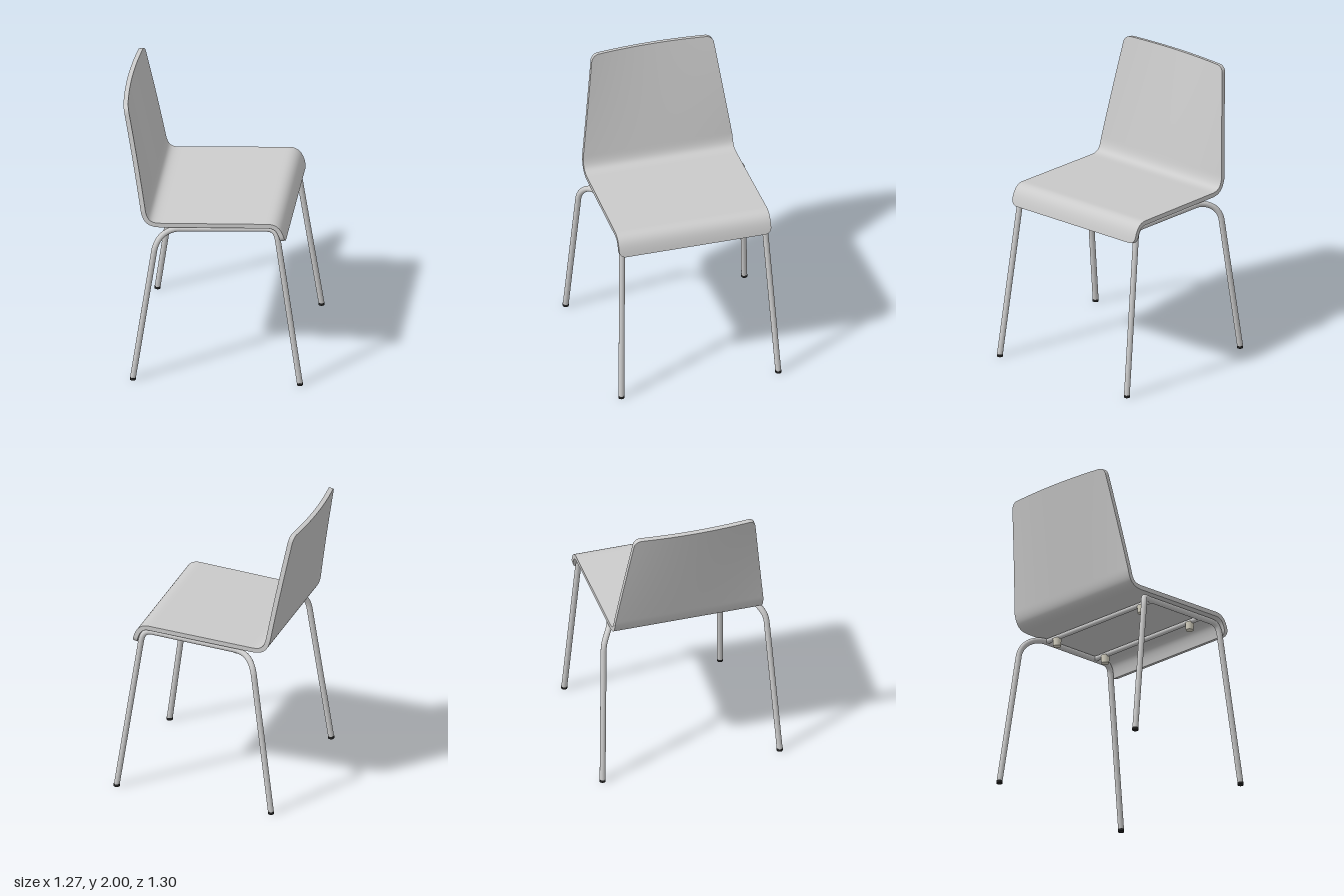
import * as THREE from 'three';
import { toCreasedNormals } from 'three/addons/utils/BufferGeometryUtils.js';

const V2 = (x, y) => new THREE.Vector2(x, y);
const V3 = (x, y, z) => new THREE.Vector3(x, y, z);
const mat = (color) => new THREE.MeshStandardMaterial({ color });

// Bent shell: a side profile swept across z, with tapering width and rounded corners
function shellGeometry() {
  const half = 0.016, corner = 0.045, across = 24;
  const profile = new THREE.CurvePath();
  profile.add(new THREE.CubicBezierCurve(V2(0.495, 1.085), V2(0.477, 1.17), V2(0.455, 1.212), V2(0.39, 1.208)));
  profile.add(new THREE.LineCurve(V2(0.39, 1.208), V2(-0.34, 1.157)));
  profile.add(new THREE.CubicBezierCurve(V2(-0.34, 1.157), V2(-0.42, 1.152), V2(-0.447, 1.175), V2(-0.464, 1.26)));
  profile.add(new THREE.LineCurve(V2(-0.464, 1.26), V2(-0.608, 2.0)));
  const length = profile.getLength();

  // Even steps, plus finer ones inside the rounded corners
  const steps = [];
  for (let i = 0; i <= 8; i++) {
    const d = corner * (1 - Math.cos((i / 8) * Math.PI / 2)) / length;
    steps.push(d, 1 - d);
  }
  for (let i = 4; i <= 116; i++) steps.push(i / 120);
  steps.sort((a, b) => a - b);

  const pos = [], index = [], ring = 2 * (across + 1);
  for (const u of steps) {
    const p = profile.getPointAt(u), t = profile.getTangentAt(u);
    const rise = Math.max(0, (p.y - 1.25) / 0.75);
    let w = 0.53 + 0.01 * p.x - 0.1 * rise;
    const d = Math.min(u, 1 - u) * length;
    if (d < corner) w -= corner - Math.sqrt(Math.max(0, corner ** 2 - (corner - d) ** 2));
    for (let k = 0; k < ring; k++) {
      const top = k <= across;
      const s = ((top ? k : ring - 1 - k) / across) * 2 - 1;
      const h = top ? half : -half;
      const bow = rise * (0.018 - 0.026 * (1 - (s * w / 0.42) ** 2)) - 0.006 * rise;
      pos.push(p.x + t.y * h + bow, p.y - t.x * h, s * w);
    }
  }
  const rows = steps.length;
  for (let i = 0; i < rows - 1; i++) {
    for (let k = 0; k < ring; k++) {
      const a = i * ring + k, b = i * ring + (k + 1) % ring;
      index.push(a, a + ring, b, b, a + ring, b + ring);
    }
  }
  // Lip edge and top edge
  for (let j = 0; j < across; j++) {
    const e = (rows - 1) * ring, bot = ring - 1 - j;
    index.push(j, j + 1, bot, j + 1, bot - 1, bot);
    index.push(e + j, e + bot, e + j + 1, e + j + 1, e + bot, e + bot - 1);
  }
  const g = new THREE.BufferGeometry();
  g.setAttribute('position', new THREE.Float32BufferAttribute(pos, 3));
  g.setIndex(index);
  return toCreasedNormals(g, 0.7);
}

// One bent tube per side: rear leg, seat rail and front leg
function sideFrameGeometry(side) {
  const p = (x, y, z) => V3(x, y, z * side);
  const path = new THREE.CurvePath();
  const rearFoot = p(-0.518, 0.012, 0.628), rearTop = p(-0.38, 0.98, 0.578);
  const railBack = p(-0.21, 1.122, 0.49), railFront = p(0.375, 1.164, 0.49);
  const frontTop = p(0.456, 1.09, 0.503), frontFoot = p(0.613, 0.012, 0.552);
  path.add(new THREE.LineCurve3(rearFoot, rearTop));
  path.add(new THREE.CubicBezierCurve3(rearTop, p(-0.365, 1.085, 0.572), p(-0.31, 1.115, 0.495), railBack));
  path.add(new THREE.LineCurve3(railBack, railFront));
  path.add(new THREE.CubicBezierCurve3(railFront, p(0.425, 1.168, 0.49), p(0.447, 1.15, 0.5), frontTop));
  path.add(new THREE.LineCurve3(frontTop, frontFoot));
  return new THREE.TubeGeometry(path, 180, 0.02, 16);
}

export function createModel() {
  const model = new THREE.Group();
  const grey = mat(0xcccccc), dark = mat(0x222222), beige = mat(0xd8d4c4);
  const add = (name, geometry, material, x = 0, y = 0, z = 0) => {
    const mesh = new THREE.Mesh(geometry, material);
    mesh.name = name;
    mesh.position.set(x, y, z);
    model.add(mesh);
    return mesh;
  };

  add('seatAndBackShell', shellGeometry(), grey);

  const foot = new THREE.CylinderGeometry(0.021, 0.021, 0.018, 16);
  const pad = new THREE.CylinderGeometry(0.03, 0.026, 0.055, 20);
  for (const side of [1, -1]) {
    add(side > 0 ? 'leftSideFrame' : 'rightSideFrame', sideFrameGeometry(side), grey);
    add('rearFoot', foot, dark, -0.518, 0.009, 0.628 * side);
    add('frontFoot', foot, dark, 0.613, 0.009, 0.552 * side);
    add('rearStackingPad', pad, beige, -0.2, 1.085, 0.39 * side);
    add('frontStackingPad', pad, beige, 0.28, 1.122, 0.39 * side);
  }

  // Cross bars between the two rails
  const bar = new THREE.CylinderGeometry(0.018, 0.018, 0.98, 16);
  add('rearCrossBar', bar, grey, -0.2, 1.123, 0).rotation.x = Math.PI / 2;
  add('frontCrossBar', bar, grey, 0.28, 1.157, 0).rotation.x = Math.PI / 2;

  return model;
}
